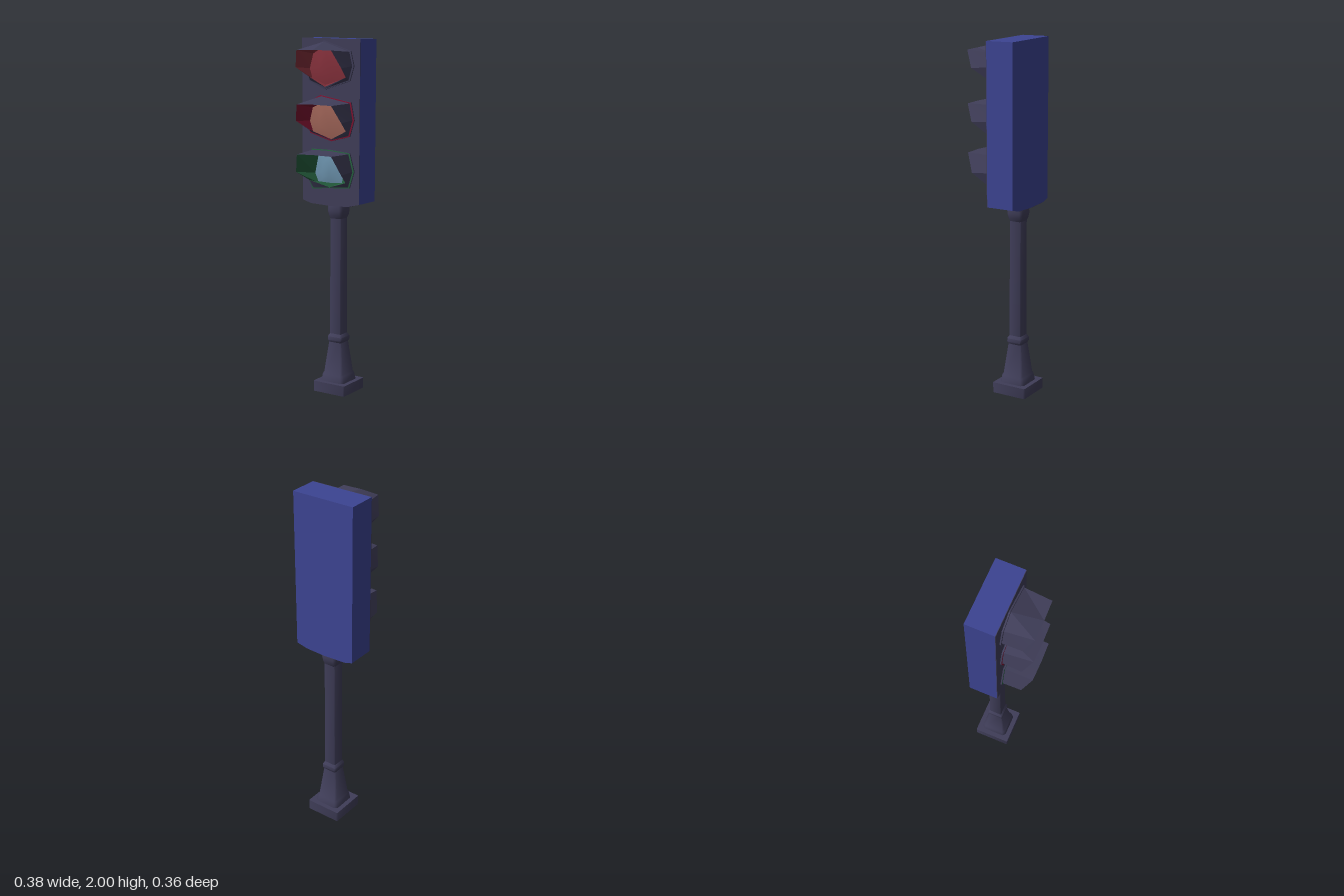
import * as THREE from 'three';
import { toCreasedNormals } from 'three/addons/utils/BufferGeometryUtils.js';

const mat = (name, color) => {
  const m = new THREE.MeshStandardMaterial({ color });
  m.name = name;
  return m;
};

// Skin through equal-length rings of [x, y, z]; optional end caps.
function loft(rings, { capStart = false, capEnd = false, crease = 0.3 } = {}) {
  const n = rings[0].length;
  const pos = rings.flat(2);
  const idx = [];
  for (let r = 0; r < rings.length - 1; r++) {
    for (let i = 0; i < n; i++) {
      const a = r * n + i, b = r * n + (i + 1) % n;
      idx.push(a, b, b + n, a, b + n, a + n);
    }
  }
  const last = (rings.length - 1) * n;
  for (let i = 1; i < n - 1; i++) {
    if (capStart) idx.push(0, i + 1, i);
    if (capEnd) idx.push(last, last + i, last + i + 1);
  }
  const g = new THREE.BufferGeometry();
  g.setAttribute('position', new THREE.Float32BufferAttribute(pos, 3));
  g.setIndex(idx);
  return toCreasedNormals(g, crease);
}

// Horizontal square of half width h with corners cut by c.
function cutSquare(y, h, c) {
  const k = h - c;
  return [[h, k], [k, h], [-k, h], [-h, k], [-h, -k], [-k, -h], [k, -h], [h, -k]]
    .map(([x, z]) => [x, y, -z]);
}

function extrude(points, depth, z) {
  const shape = new THREE.Shape(points.map(([x, y]) => new THREE.Vector2(x, y)));
  const g = new THREE.ExtrudeGeometry(shape, { depth, bevelEnabled: false });
  g.translate(0, 0, z);
  return g;
}

export function createModel() {
  const model = new THREE.Group();
  model.name = 'trafficLight';
  const dark = mat('darkMetal', 0x3f3d58);
  const blue = mat('blueHousing', 0x3c4492);
  const red = mat('redLens', 0x84303b);
  const crimson = mat('crimsonLining', 0x7c1230);
  const amber = mat('amberLens', 0x9c6256);
  const green = mat('greenLining', 0x25603f);
  const cyan = mat('paleBlueLens', 0x6a90aa);

  const add = (name, geometry, material, parent = model) => {
    const m = new THREE.Mesh(geometry, material);
    m.name = name;
    parent.add(m);
    return m;
  };

  // Stand: plinth, tapered foot and square pole with softened corners, on one axis
  const stand = new THREE.Group();
  stand.name = 'stand';
  stand.position.set(-0.005, 0, -0.076);
  model.add(stand);
  const column = (name, sections) => add(name,
    loft(sections.map((s) => cutSquare(...s)), { capStart: true, capEnd: true, crease: 0.9 }), dark, stand);
  column('plinth', [[0, 0.104, 0.004], [0.06, 0.104, 0.004]]);
  column('foot', [[0.06, 0.077, 0.016], [0.1, 0.07, 0.014], [0.11, 0.063, 0.01], [0.29, 0.04, 0.004]]);
  column('collar', [[0.285, 0.04, 0.004], [0.298, 0.046, 0.004], [0.318, 0.046, 0.004], [0.335, 0.036, 0.003]]);
  column('pole', [[0.32, 0.036, 0.003], [1.03, 0.035, 0.003]]);
  column('poleCap', [[1.0, 0.036, 0.006], [1.02, 0.045, 0.012], [1.045, 0.05, 0.014], [1.07, 0.048, 0.014], [1.1, 0.045, 0.014]]);

  // Housing with a slightly bowed underside and a dark front panel
  const bottom = [[-0.19, 1.1], [-0.14, 1.086], [0, 1.08], [0.12, 1.085], [0.183, 1.1]];
  add('housing', extrude([...bottom, [0.188, 1.993], [-0.19, 2]], 0.161, -0.154), blue);
  add('frontPanel', extrude([...bottom, [0.188, 1.993], [-0.19, 2]], 0.003, 0.007), dark);
  // Dark plate under the middle of the housing
  const middle = bottom.slice(1, 4);
  const under = [...middle.map(([x, y]) => [x, y - 0.002]), ...[...middle].reverse()];
  add('underside', extrude(under, 0.16, -0.152), dark);

  // Lamps: back outlines run anticlockwise from the top, relative to the centre y;
  // fill gives the lens width, height and vertical shift within the outline
  const lamps = [
    { name: 'redLamp', y: 1.85, top: 0.085, low: -0.115, fill: [0.83, 0.8, 0], flange: dark, lining: red, lens: red,
      back: [[-0.04, 0.135], [-0.13, 0.08], [-0.158, -0.02], [-0.138, -0.085], [-0.03, -0.13], [0.13, -0.08], [0.155, 0], [0.135, 0.08]] },
    { name: 'amberLamp', y: 1.56, top: 0.085, low: -0.11, fill: [0.83, 0.78, -0.014], flange: crimson, lining: crimson, lens: amber,
      back: [[-0.06, 0.13], [-0.135, 0.095], [-0.158, 0], [-0.13, -0.08], [0.01, -0.12], [0.13, -0.09], [0.158, 0], [0.138, 0.095]] },
    { name: 'greenLamp', y: 1.28, top: 0.095, low: -0.095, fill: [0.62, 0.7, 0], flange: green, lining: green, lens: cyan,
      back: [[0, 0.112], [-0.12, 0.112], [-0.155, -0.03], [-0.115, -0.11], [0, -0.1], [0.128, -0.092], [0.158, 0], [0.13, 0.1]] },
  ];
  for (const { name, y, top, low, fill, flange, lining, lens, back } of lamps) {
    const lamp = new THREE.Group();
    lamp.name = name;
    lamp.position.y = y;
    model.add(lamp);
    const ring = (sx, sy, z, dy = 0) => back.map(([x, v]) => [x * sx, v * sy + dy, z]);
    // Back ring: dark edge, coloured face
    const root = ring(0.94, 0.95, 0.023);
    add('ringEdge', loft([ring(1, 1, 0.014), ring(1, 1, 0.022)]), dark, lamp);
    add('ringFace', loft([ring(1, 1, 0.022), root]), flange, lamp);
    // Visor rim: far forward at the top, sweeping back to the panel below
    const rim = [[0, top + 0.003, 0.18], [-0.11, top, 0.178], [-0.15, -0.008, 0.13], [-0.122, -0.06, 0.045],
      [back[4][0], low, 0.025], [0.12, -0.06, 0.045], [0.146, -0.008, 0.13], [0.112, top, 0.176]];
    const seat = ring(fill[0], fill[1], 0.022, fill[2]);
    add('visor', loft([root, rim]), dark, lamp);
    add('visorLining', loft([rim, seat]), lining, lamp);
    // Shallow domed lens
    const dome = ring(fill[0] * 0.5, fill[1] * 0.5, 0.03, fill[2]);
    add('lens', loft([seat, dome], { capEnd: true, crease: 0.6 }), lens, lamp);
  }
  return model;
}
